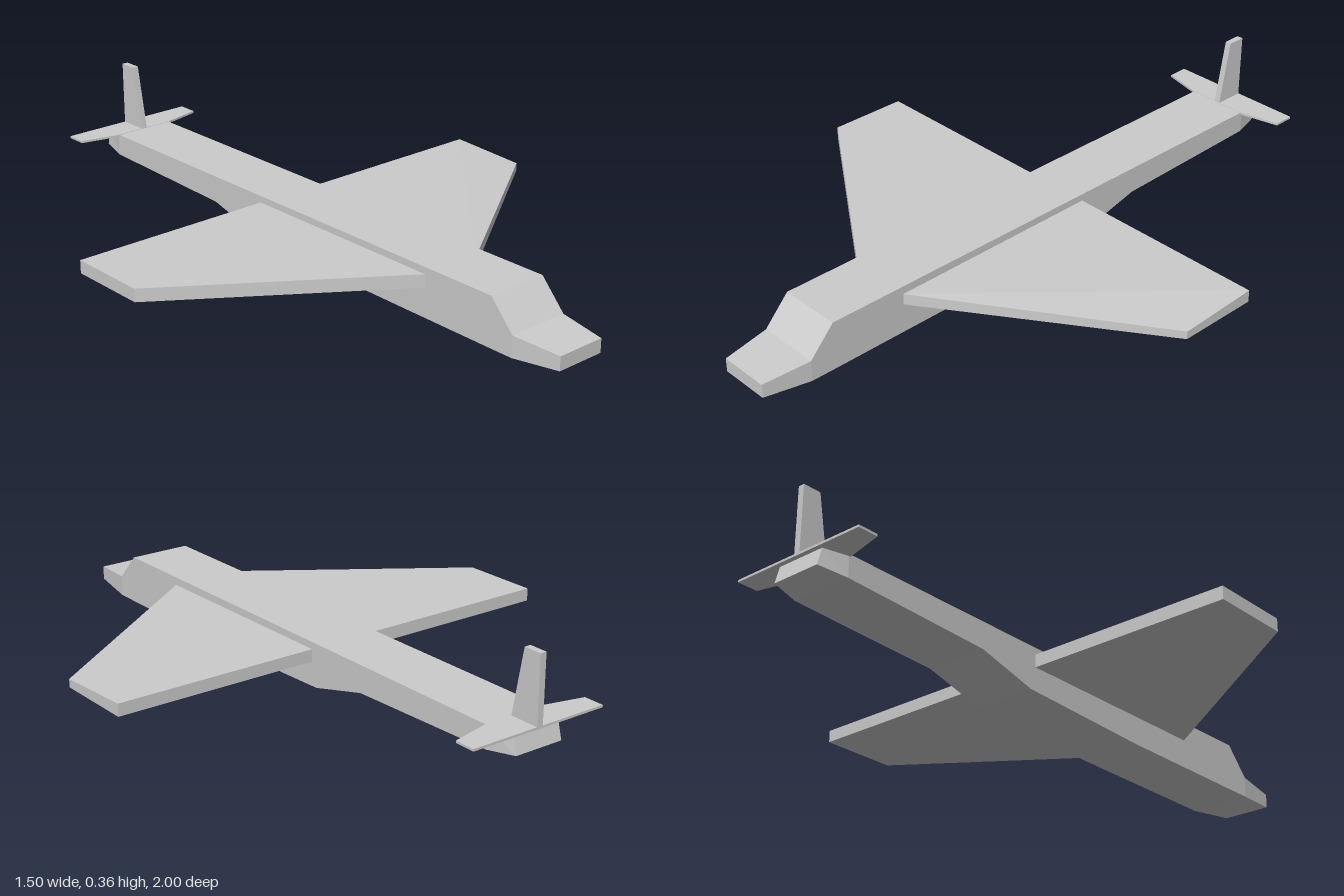
import * as THREE from 'three';

const material = new THREE.MeshStandardMaterial({ color: 0xcccccc, flatShading: true });

// Lofts a closed skin through rings of points, all wound the same way, with end caps.
// Rings run counter-clockwise as seen from the last ring looking back to the first.
function loft(name, rings) {
  const pos = [];
  const tri = (a, b, c) => pos.push(...a, ...b, ...c);
  const n = rings[0].length;
  for (let i = 0; i < rings.length - 1; i++) {
    for (let j = 0; j < n; j++) {
      const k = (j + 1) % n;
      const [a, b, c, d] = [rings[i][j], rings[i][k], rings[i + 1][k], rings[i + 1][j]];
      tri(a, b, c);
      tri(a, c, d);
    }
  }
  const first = rings[0], last = rings[rings.length - 1];
  for (let j = 1; j < n - 1; j++) {
    tri(first[0], first[j + 1], first[j]);
    tri(last[0], last[j], last[j + 1]);
  }
  const geometry = new THREE.BufferGeometry();
  geometry.setAttribute('position', new THREE.Float32BufferAttribute(pos, 3));
  geometry.computeVertexNormals();
  const mesh = new THREE.Mesh(geometry, material);
  mesh.name = name;
  return mesh;
}

// Rectangular fuselage station
const station = ([z, half, bottom, top, topZ = z]) => [
  [-half, bottom, z], [half, bottom, z], [half, top, topZ], [-half, top, topZ],
];

// Horizontal panel: outline of [x, z] going root front, tip front, tip rear, root rear
function panel(name, outline, bottom, tops, side) {
  const low = outline.map(([x, z]) => [x * side, bottom, z]);
  const high = outline.map(([x, z], i) => [x * side, tops[i], z]);
  if (side > 0) { low.reverse(); high.reverse(); }
  // a left outline seen from above runs clockwise after reversal unless flipped back
  const area = low.reduce((s, p, i) => {
    const q = low[(i + 1) % low.length];
    return s + p[2] * q[0] - q[2] * p[0];
  }, 0);
  if (area < 0) { low.reverse(); high.reverse(); }
  return loft(name, [low, high]);
}

export function createModel() {
  const model = new THREE.Group();
  model.name = 'aircraft';

  // Fuselage from tail to nose, with stepped belly and sloped windscreen
  model.add(loft('fuselage', [
    [-1, 0.08, 0.093, 0.149, -0.985],
    [-0.91, 0.1, 0.084, 0.153],
    [-0.4, 0.1, 0.069, 0.153],
    [-0.2, 0.1, 0.018, 0.153],
    [0.28, 0.1, 0.002, 0.153],
    [0.77, 0.1, 0, 0.153],
    [0.85, 0.1, 0, 0.066],
    [1, 0.08, 0.012, 0.055],
  ].map(station)));

  // Main wings; the left one thins slightly at its front tip
  const wing = [[0.09, 0.53], [0.75, 0.075], [0.75, -0.18], [0.09, -0.18]];
  model.add(panel('leftWing', wing, 0.093, [0.128, 0.118, 0.131, 0.131], 1));
  model.add(panel('rightWing', wing, 0.092, [0.132, 0.132, 0.132, 0.132], -1));

  // Thin tailplanes
  const tail = [[0, -0.905], [0.1, -0.905], [0.228, -0.935], [0.228, -1], [0, -1]];
  for (const [name, side] of [['leftTailplane', 1], ['rightTailplane', -1]]) {
    model.add(panel(name, tail, 0.147, tail.map(() => 0.154), side));
  }

  // Upright tail fin with a raked front edge
  const finRing = (y, front) => [
    [-0.01, y, front], [0.01, y, front], [0.01, y, -1], [-0.01, y, -1],
  ];
  model.add(loft('tailFin', [finRing(0.148, -0.904), finRing(0.356, -0.942)]));

  return model;
}
